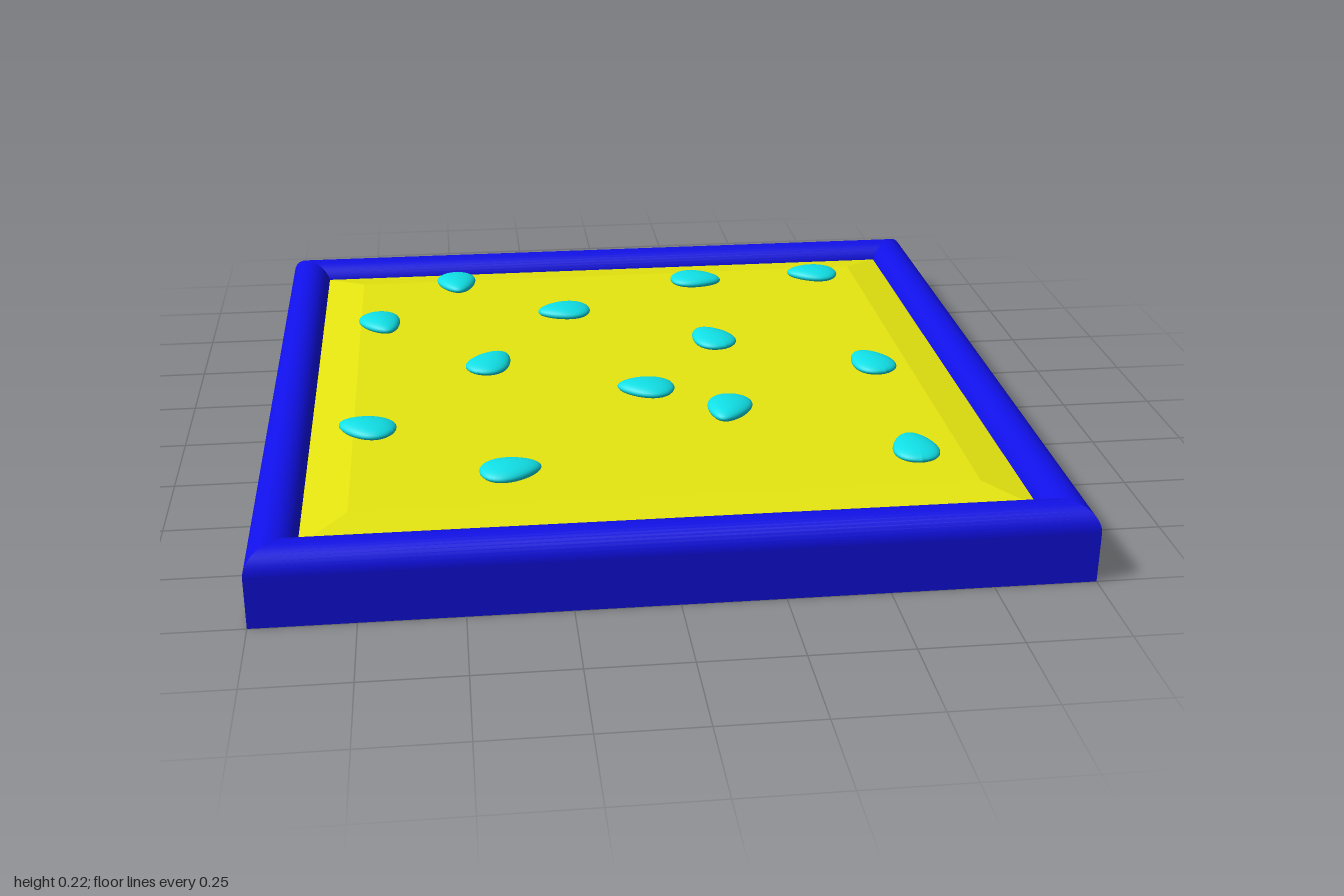
import * as THREE from 'three';

const HEIGHT = 0.19, RIM = 0.06, MID = 0.94;

// One mitred side of the rim: a rounded cross-section swept along x, facing +z
function rimSide() {
  const profile = [[1, 0]];
  const steps = 20;
  for (let i = 0; i <= steps; i++) {
    const a = (i / steps) * Math.PI;
    profile.push([MID + RIM * Math.cos(a), HEIGHT - RIM + RIM * Math.sin(a)]);
  }
  profile.push([MID - RIM, 0.05]);
  const positions = [], indices = [];
  profile.forEach(([d, y], i) => {
    positions.push(-d, y, d, d, y, d);
    if (i > 0) {
      const a = 2 * (i - 1);
      indices.push(a, a + 1, a + 3, a, a + 3, a + 2);
    }
  });
  const g = new THREE.BufferGeometry();
  g.setAttribute('position', new THREE.Float32BufferAttribute(positions, 3));
  g.setIndex(indices);
  g.computeVertexNormals();
  return g;
}

// Flattened egg, narrow end towards +x
function eggGeometry() {
  const g = new THREE.SphereGeometry(1, 32, 20);
  const p = g.attributes.position;
  for (let i = 0; i < p.count; i++) {
    const x = p.getX(i);
    p.setXYZ(i, x * 0.078, p.getY(i) * 0.021, p.getZ(i) * 0.057 * (1 - 0.28 * x));
  }
  g.computeVertexNormals();
  return g;
}

export function createModel() {
  const model = new THREE.Group();
  const blue = new THREE.MeshStandardMaterial({ color: 0x1010e8 });
  const yellow = new THREE.MeshStandardMaterial({ color: 0xe6e610, flatShading: true });
  const teal = new THREE.MeshStandardMaterial({ color: 0x10e0e6 });

  // Tray: four rim sides and a flat base
  const tray = new THREE.Group();
  tray.name = 'tray';
  const side = rimSide();
  for (let i = 0; i < 4; i++) {
    const m = new THREE.Mesh(side, blue);
    m.name = 'rimSide';
    m.rotation.y = (i * Math.PI) / 2;
    tray.add(m);
  }
  const base = new THREE.Mesh(new THREE.PlaneGeometry(2, 2), blue);
  base.name = 'base';
  base.rotation.x = Math.PI / 2;
  tray.add(base);
  model.add(tray);

  // Filling: shallow square block with sloped borders
  const bevel = new THREE.CylinderGeometry(0.77 * Math.SQRT2, 0.885 * Math.SQRT2, 0.022, 4);
  bevel.rotateY(Math.PI / 4);
  const filling = new THREE.Mesh(bevel, yellow);
  filling.name = 'filling';
  filling.position.y = 0.156;
  model.add(filling);

  // Seeds: x, z, direction of the narrow end (dx, dz), height of centre
  const seeds = [
    [-0.48, -0.735, 0.1, 1], [0.265, -0.685, 1, 0.2], [0.64, -0.7, -1, -0.2],
    [-0.71, -0.42, 0.35, 1], [-0.165, -0.46, -1, 0.05], [0.245, -0.195, -0.45, -1],
    [-0.4, -0.08, 0.6, -1], [0.015, 0.135, -1, -0.25], [-0.735, 0.315, -1, -0.45],
    [0.21, 0.345, -0.35, 1, 0.2], [0.665, 0.03, -0.35, -1], [-0.375, 0.6, 1, -0.2],
    [0.65, 0.585, 0, -1],
  ];
  const egg = eggGeometry();
  for (const [x, z, dx, dz, y = 0.175] of seeds) {
    const m = new THREE.Mesh(egg, teal);
    m.name = 'seed';
    m.position.set(x, y, z);
    m.rotation.y = Math.atan2(-dz, dx);
    model.add(m);
  }
  return model;
}
